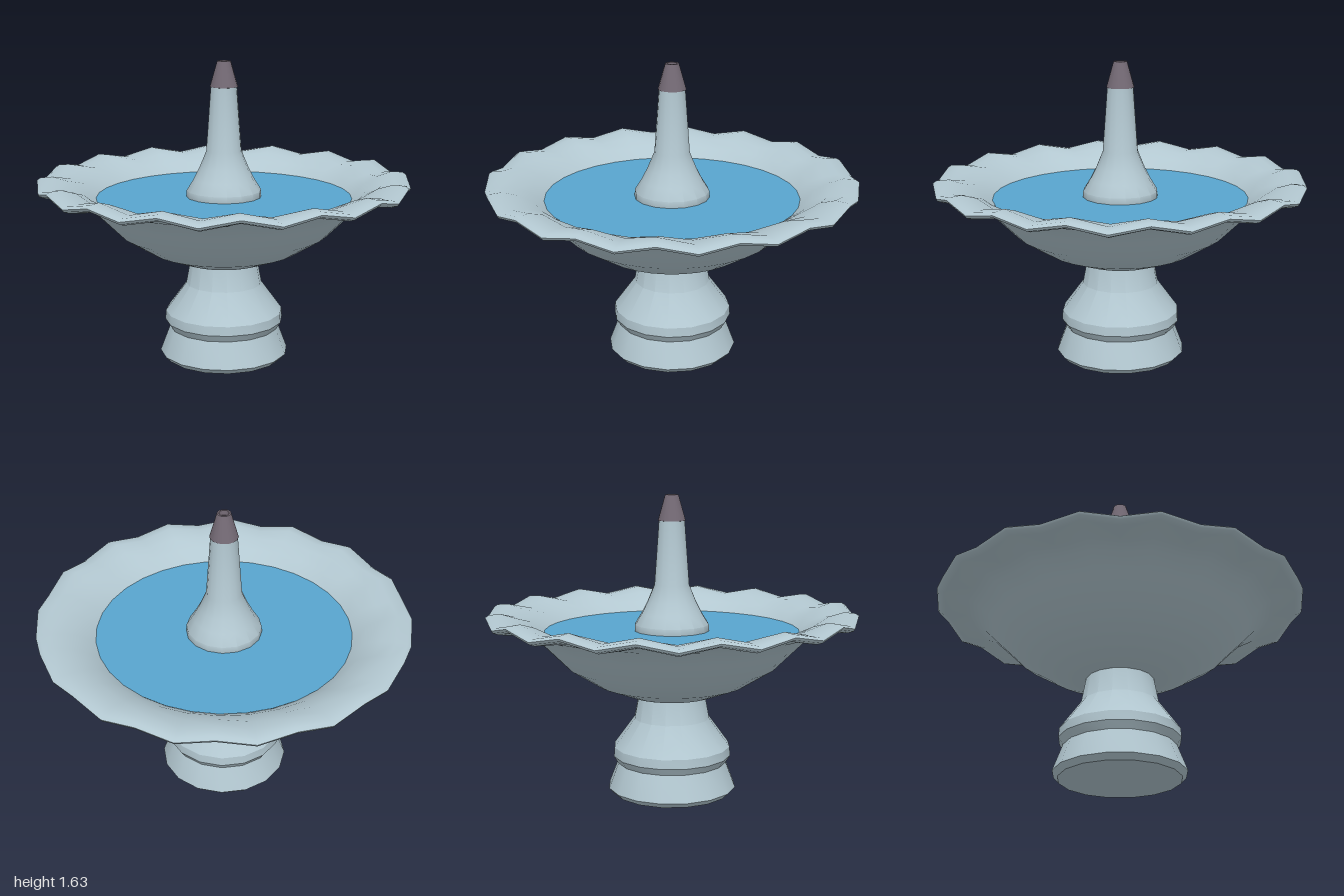
import * as THREE from 'three';
import { toCreasedNormals } from 'three/addons/utils/BufferGeometryUtils.js';

const stone = new THREE.MeshStandardMaterial({ color: 0xb3c8d1 });
stone.name = 'paleStone';
const water = new THREE.MeshStandardMaterial({ color: 0x58a5ce });
water.name = 'blueWater';
const metal = new THREE.MeshStandardMaterial({ color: 0x746a75 });
metal.name = 'darkMetal';

// Turned part from [radius, height] pairs; deform optionally moves its vertices
function turned(name, profile, sides, material, crease, deform) {
  let geometry = new THREE.LatheGeometry(profile.map(([r, y]) => new THREE.Vector2(r, y)), sides);
  if (deform) deform(geometry.attributes.position);
  geometry = toCreasedNormals(geometry, crease);
  const mesh = new THREE.Mesh(geometry, material);
  mesh.name = name;
  return mesh;
}

// Sixteen scallops that grow towards the rim
function scallop(position) {
  for (let i = 0; i < position.count; i++) {
    const x = position.getX(i), z = position.getZ(i);
    const grow = THREE.MathUtils.smoothstep(Math.hypot(x, z), 0.74, 0.93);
    const wave = Math.cos(16 * Math.atan2(x, z));
    position.setY(i, position.getY(i) + 0.019 * grow * wave);
  }
}

export function createModel() {
  const group = new THREE.Group();
  group.name = 'fountain';

  // Stepped foot and neck
  group.add(turned('pedestal', [
    [0, 0.005], [0.325, 0.005], [0.353, 0.035], [0.30, 0.175], [0.325, 0.215],
    [0.321, 0.265], [0.208, 0.42], [0.18, 0.57],
  ], 16, stone, 0.5));

  // Bowl: underside, rolled lip, then inner wall down below the water
  group.add(turned('bowl', [
    [0.1, 0.552], [0.24, 0.555], [0.41, 0.62], [0.57, 0.72], [0.69, 0.84], [0.77, 0.92],
    [0.84, 0.952], [0.96, 0.966], [0.993, 0.977], [1.0, 0.99], [0.98, 1.003],
    [0.92, 1.007], [0.84, 0.99], [0.76, 0.955], [0.69, 0.905], [0.6, 0.82],
  ], 32, stone, 1.1, scallop));

  // Water surface
  const pool = new THREE.Mesh(new THREE.CircleGeometry(0.69, 32), water);
  pool.name = 'water';
  pool.rotation.x = -Math.PI / 2;
  pool.position.y = 0.906;
  group.add(pool);

  // Flared centre column
  group.add(turned('column', [
    [0.19, 0.86], [0.204, 0.905], [0.202, 0.94], [0.165, 1.0], [0.132, 1.065],
    [0.095, 1.155], [0.07, 1.5], [0, 1.5],
  ], 16, stone, 0.6));

  // Tapered nozzle with a shallow bore
  group.add(turned('nozzle', [
    [0.06, 1.495], [0.075, 1.498], [0.036, 1.635], [0.026, 1.635], [0.024, 1.61], [0, 1.61],
  ], 16, metal, 0.6));

  return group;
}
